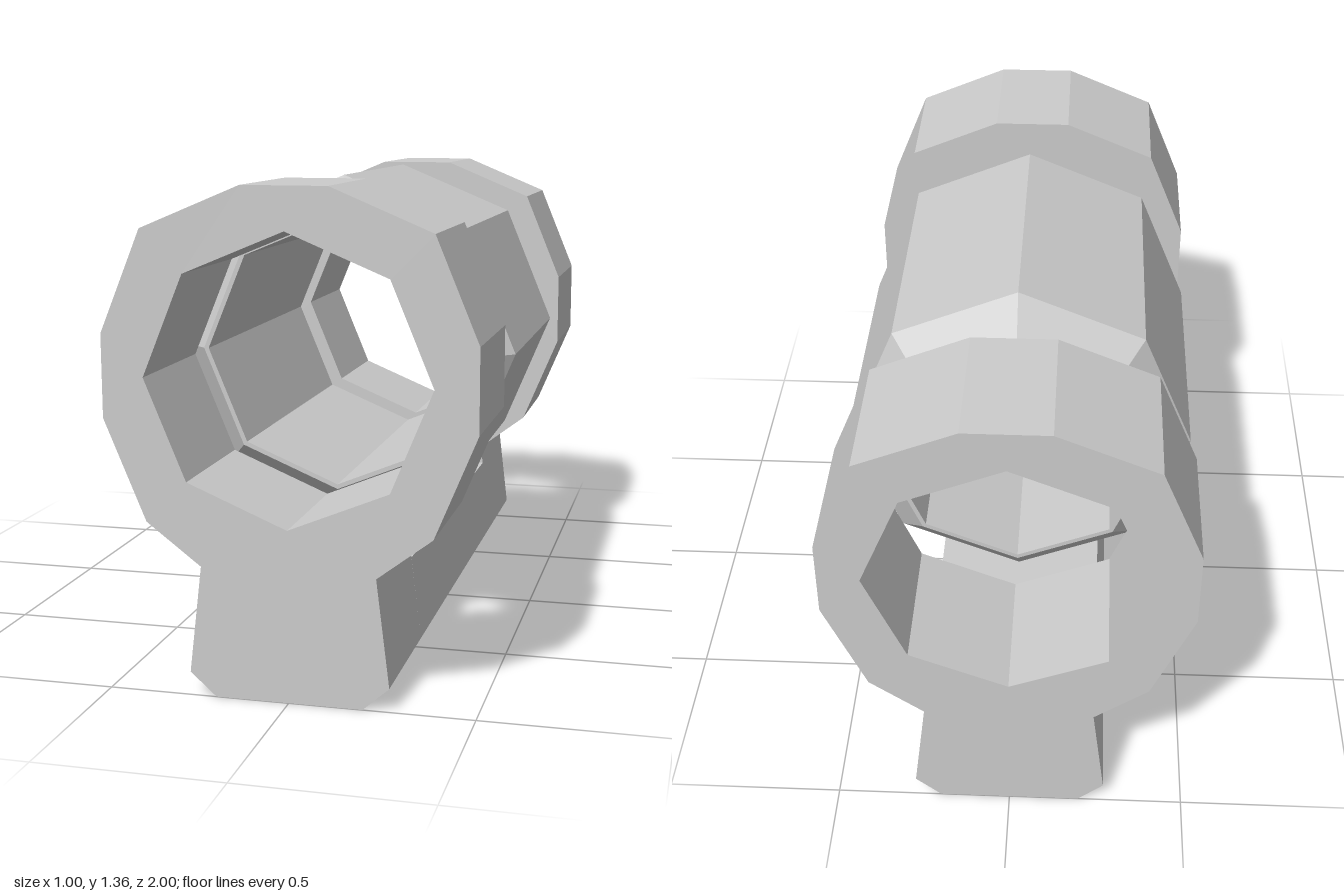
import * as THREE from 'three';

const CENTER_Y = 0.856;
const BORE = 0.386;
const material = new THREE.MeshStandardMaterial({ color: 0xcccccc, flatShading: true });

// Mirrors the right-hand outline (listed bottom to top) into a closed shape
function mirroredShape(half) {
  const left = half.map(([x, y]) => [-x, y]).reverse();
  return new THREE.Shape([...half, ...left].map(([x, y]) => new THREE.Vector2(x, y)));
}

function extrudeAlongZ(name, shape, z0, z1) {
  const geometry = new THREE.ExtrudeGeometry(shape, { depth: z1 - z0, bevelEnabled: false });
  geometry.translate(0, 0, z0);
  const mesh = new THREE.Mesh(geometry, material);
  mesh.name = name;
  return mesh;
}

export function createModel() {
  const group = new THREE.Group();
  group.name = 'ringMount';

  // Foot profile shared by the rings and the rail
  const foot = [[0.2, 0], [0.272, 0.064]];

  // End rings, each with an octagonal bore and a flared foot
  const ringShape = mirroredShape([
    ...foot, [0.237, 0.357], [0.386, 0.47], [0.5, 0.744],
    [0.5, 0.968], [0.386, 1.243], [0.115, 1.356],
  ]);
  const bore = [];
  for (let i = 0; i < 8; i++) {
    const a = (i * Math.PI) / 4;
    bore.push(new THREE.Vector2(BORE * Math.cos(a), CENTER_Y + BORE * Math.sin(a)));
  }
  ringShape.holes.push(new THREE.Path(bore));
  group.add(extrudeAlongZ('frontRing', ringShape, 0.602, 1));
  group.add(extrudeAlongZ('backRing', ringShape, -1, -0.598));

  // Low rail joining the two rings
  const railShape = mirroredShape([...foot, [0.244, 0.3]]);
  group.add(extrudeAlongZ('baseRail', railShape, -0.598, 0.602));

  // Floating octagonal sleeve with chamfered ends and a straight bore
  const profile = [
    [BORE, -0.47], [0.4, -0.47], [0.5, -0.38], [0.5, 0.4],
    [0.4, 0.49], [BORE, 0.49], [BORE, -0.47],
  ].map(([r, z]) => new THREE.Vector2(r, z));
  const sleeve = new THREE.Mesh(new THREE.LatheGeometry(profile, 8), material);
  sleeve.name = 'sleeve';
  sleeve.rotation.x = Math.PI / 2;
  sleeve.position.y = CENTER_Y;
  group.add(sleeve);

  return group;
}
